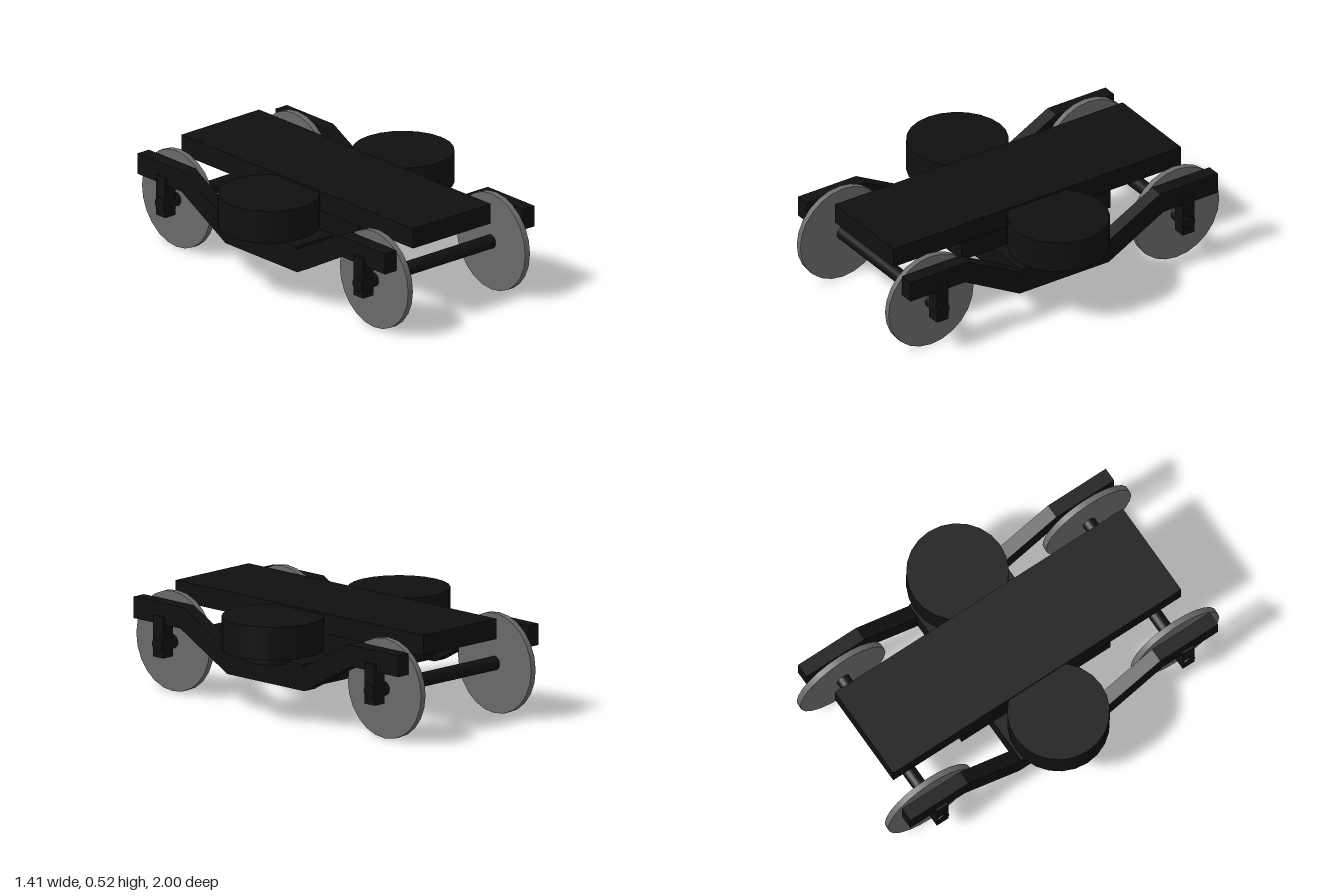
import * as THREE from 'three';

export function createModel() {
  const group = new THREE.Group();
  const black = new THREE.MeshStandardMaterial({ color: 0x101010 });
  black.name = 'black frame';
  const steel = new THREE.MeshStandardMaterial({ color: 0x6a6a6a });
  steel.name = 'grey steel';

  function add(name, geometry, material, x, y, z) {
    const mesh = new THREE.Mesh(geometry, material);
    mesh.name = name;
    mesh.position.set(x, y, z);
    group.add(mesh);
    return mesh;
  }
  const box = (name, w, h, d, x, y, z) =>
    add(name, new THREE.BoxGeometry(w, h, d), black, x, y, z);
  const axial = (r, length) =>
    new THREE.CylinderGeometry(r, r, length, 24).rotateZ(Math.PI / 2);

  // Top deck, the spacer under it and the low cross beam
  box('deck', 0.52, 0.105, 1.74, 0, 0.4725, 0);
  box('deckSpacer', 0.5, 0.12, 0.9, 0, 0.37, 0);
  box('crossBeam', 1.0, 0.125, 0.52, 0, 0.2525, 0);

  // Cranked side frame profile: u runs along the length, v is height
  const half = [[0.27, 0.18], [0.6, 0.36], [0.93, 0.36], [0.93, 0.47], [0.58, 0.47], [0.25, 0.295]];
  const mirrored = half.map(([u, v]) => [-u, v]).reverse();
  const profile = new THREE.Shape([...half, ...mirrored].map(([u, v]) => new THREE.Vector2(u, v)));
  const frameGeometry = new THREE.ExtrudeGeometry(profile, { depth: 0.075, bevelEnabled: false });
  frameGeometry.translate(0, 0, -0.0375).rotateY(Math.PI / 2);

  for (const side of [1, -1]) {
    const label = side > 0 ? 'left' : 'right';
    add(label + 'SideFrame', frameGeometry, black, side * 0.4625, 0, 0);

    // Air spring drum on its smaller seat
    add(label + 'SpringDrum', new THREE.CylinderGeometry(0.257, 0.257, 0.17, 24), black, side * 0.45, 0.43, 0);
    add(label + 'SpringSeat', new THREE.CylinderGeometry(0.15, 0.15, 0.06, 24), black, side * 0.45, 0.325, 0);
  }

  // Wheelsets with hanging axle guides
  for (const end of [1, -1]) {
    const label = end > 0 ? 'front' : 'back';
    const z = end * 0.743;
    add(label + 'Axle', axial(0.036, 1.04), black, 0, 0.257, z);
    for (const side of [1, -1]) {
      add(label + 'Wheel', axial(0.257, 0.032), steel, side * 0.392, 0.257, z);
      box(label + 'AxleGuide', 0.07, 0.21, 0.07, side * 0.478, 0.295, z);
    }
  }
  return group;
}
